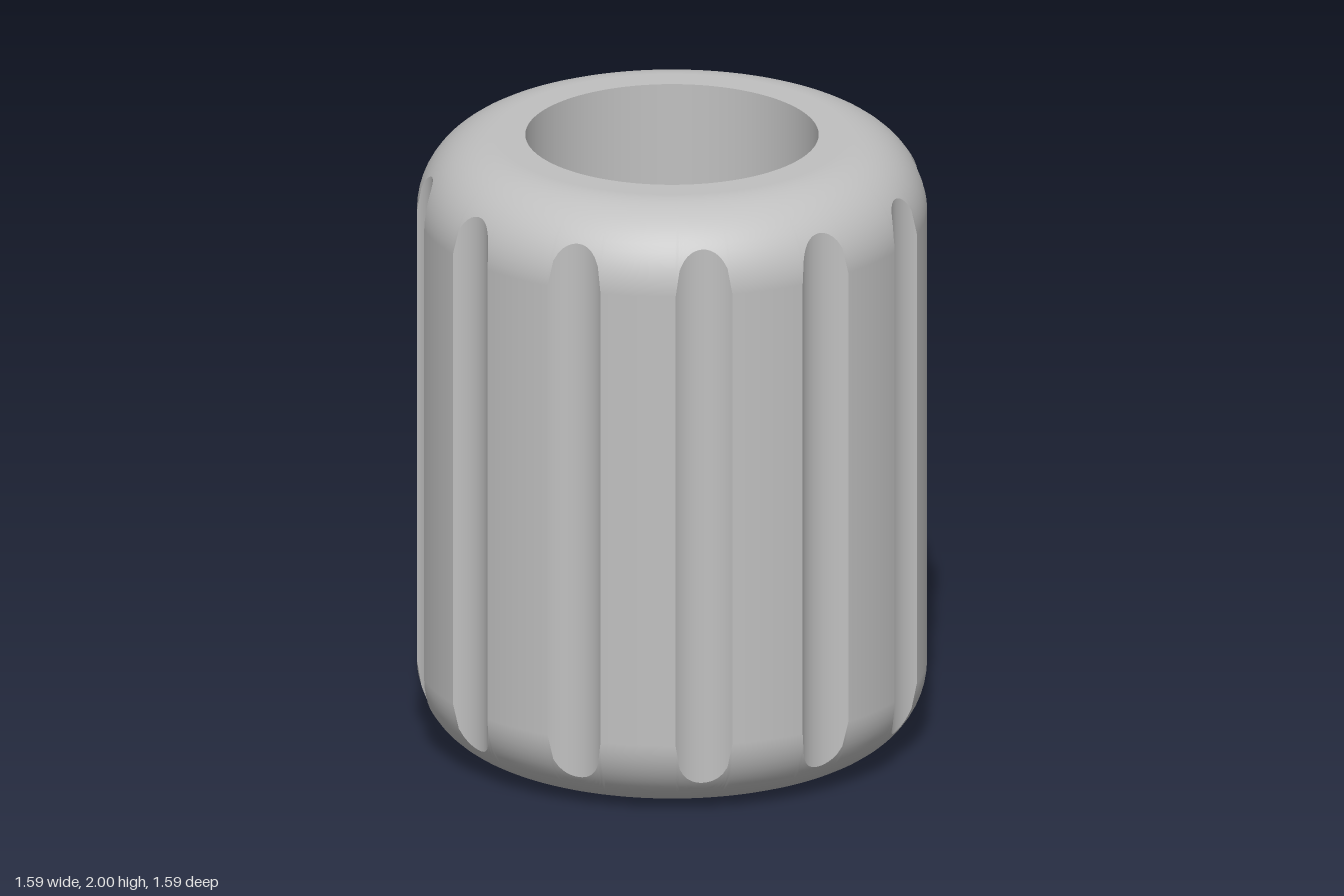
import * as THREE from 'three';

const H = 2, R = 0.8, BORE = 0.46, FILLET = 0.25;
const FLUTES = 12, FLUTE_C = 0.8825, FLUTE_R = 0.1255; // flute axis distance and radius
const SECTOR = (Math.PI * 2) / FLUTES;
// Half angle at which a flute leaves the outer cylinder
const HALF = Math.acos((R * R + FLUTE_C ** 2 - FLUTE_R ** 2) / (2 * R * FLUTE_C));

// Outer radius at an angle measured from the nearest flute axis
function outerRadius(t) {
  if (Math.abs(t) >= HALF) return R;
  const s = FLUTE_C * Math.sin(t);
  return Math.min(R, FLUTE_C * Math.cos(t) - Math.sqrt(FLUTE_R ** 2 - s * s));
}

// Angle on the rounded edge where the wall at radius r meets it
const edgeAngle = (r) => Math.acos(Math.min(1, (r - R + FILLET) / FILLET));
const wallTop = (r) => H - FILLET + FILLET * Math.sin(edgeAngle(r));

// Smooth grid surface: fn(u, v) returns [angle, radius, y, normal angle, normal out, normal up]
function gridSurface(cols, rows, fn) {
  const pos = [], nor = [], idx = [];
  for (let i = 0; i <= cols; i++) {
    for (let j = 0; j <= rows; j++) {
      const [t, r, y, nt, out, up] = fn(i / cols, j / rows, j);
      pos.push(r * Math.sin(t), y, r * Math.cos(t));
      nor.push(out * Math.sin(nt), up, out * Math.cos(nt));
      if (i < cols && j < rows) {
        const a = i * (rows + 1) + j, b = a + rows + 1;
        idx.push(a, b, b + 1, a, b + 1, a + 1);
      }
    }
  }
  const g = new THREE.BufferGeometry();
  g.setAttribute('position', new THREE.Float32BufferAttribute(pos, 3));
  g.setAttribute('normal', new THREE.Float32BufferAttribute(nor, 3));
  g.setIndex(idx);
  return g;
}

// Vertical wall between two angles
function wall(from, to, isFlute) {
  return gridSurface(14, 1, (u, v) => {
    const t = from + (to - from) * u;
    const r = outerRadius(t), top = wallTop(r);
    // Flute normals point at the flute axis
    const nt = isFlute
      ? Math.atan2(-r * Math.sin(t), FLUTE_C - r * Math.cos(t)) : t;
    return [t, r, v ? top : H - top, nt, 1, 0];
  });
}

// Rounded edge plus flat end face, for the top (side 1) or bottom (side -1)
function endCap(from, to, side) {
  const n = 14;
  return gridSurface(14, n + 1, (u, v, j) => {
    const t = from + (to - from) * u;
    const k = side > 0 ? j : n + 1 - j;
    const a0 = edgeAngle(outerRadius(t));
    const a = a0 + (Math.PI / 2 - a0) * Math.min(1, k / n);
    const r = k > n ? BORE : R - FILLET + FILLET * Math.cos(a);
    const y = H / 2 + side * (H / 2 - FILLET + FILLET * Math.sin(a));
    return [t, r, y, t, Math.cos(a), side * Math.sin(a)];
  });
}

export function createModel() {
  const model = new THREE.Group();
  model.name = 'flutedSleeve';
  const grey = new THREE.MeshStandardMaterial({ color: 0xc0c0c0 });
  grey.name = 'grey';

  const add = (name, geometry, angle = 0) => {
    const mesh = new THREE.Mesh(geometry, grey);
    mesh.name = name;
    mesh.rotation.y = angle;
    model.add(mesh);
  };

  const spans = [[-HALF, HALF], [HALF, SECTOR - HALF]];
  const flute = wall(...spans[0], true);
  const land = wall(...spans[1], false);
  const tops = spans.map(([a, b]) => endCap(a, b, 1));
  const bottoms = spans.map(([a, b]) => endCap(a, b, -1));

  // Repeat one flute and one land around the axis
  for (let i = 0; i < FLUTES; i++) {
    const angle = i * SECTOR;
    add('flute', flute, angle);
    add('land', land, angle);
    tops.forEach((g) => add('topEdge', g, angle));
    bottoms.forEach((g) => add('bottomEdge', g, angle));
  }

  // Through bore, facing inward; columns match the end faces
  const steps = [];
  for (let i = 0; i < FLUTES; i++) {
    for (const [a, b] of spans) {
      for (let k = 0; k < 14; k++) steps.push(i * SECTOR + a + ((b - a) * k) / 14);
    }
  }
  steps.push(steps[0] + Math.PI * 2);
  const last = steps.length - 1;
  add('bore', gridSurface(last, 1, (u, v) => {
    const t = steps[last - Math.round(u * last)];
    return [t, BORE, v * H, t, -1, 0];
  }));

  return model;
}
